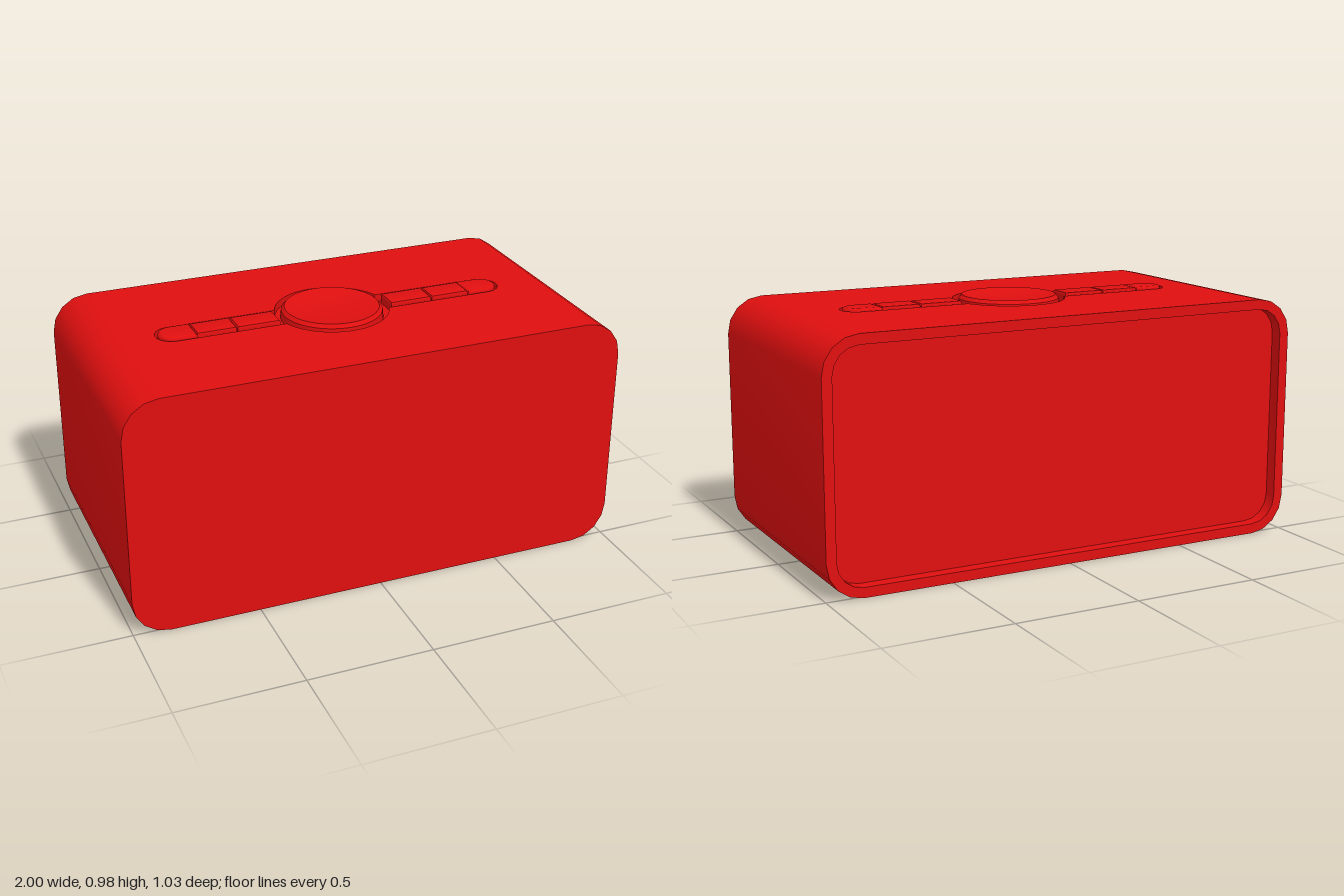
import * as THREE from 'three';
import { toCreasedNormals } from 'three/addons/utils/BufferGeometryUtils.js';

const TOP = 0.965, HALF_D = 0.515, FLOOR = 0.935, RIM = 0.04, BACK_DEPTH = 0.05;

// Points along an arc, counter-clockwise, angles in radians.
function arc(cx, cy, r, a0, a1, steps) {
  return Array.from({ length: steps + 1 }, (_, i) => {
    const a = a0 + (a1 - a0) * i / steps;
    return new THREE.Vector2(cx + r * Math.cos(a), cy + r * Math.sin(a));
  });
}

// Rounded rectangle inset from the case silhouette, from top left round to top right.
function outline(inset) {
  const r = 0.145 - inset, x = 0.855, y0 = 0.145, y1 = TOP - 0.145, q = Math.PI / 2;
  return [
    ...arc(-x, y1, r, q, 2 * q, 4), ...arc(-x, y0, r, 2 * q, 3 * q, 4),
    ...arc(x, y0, r, 3 * q, 4 * q, 4), ...arc(x, y1, r, 0, q, 4),
  ];
}

// Strip of wall along a path; faces outward for a counter-clockwise path.
function wall(points, z0, z1) {
  const pos = [];
  for (let i = 0; i < points.length - 1; i++) {
    const p = points[i], q = points[i + 1];
    if (p.distanceTo(q) < 1e-5) continue;
    pos.push(p.x, p.y, z0, q.x, q.y, z0, q.x, q.y, z1);
    pos.push(p.x, p.y, z0, q.x, q.y, z1, p.x, p.y, z1);
  }
  const geo = new THREE.BufferGeometry();
  geo.setAttribute('position', new THREE.Float32BufferAttribute(pos, 3));
  return toCreasedNormals(geo, 0.6);
}

const inwardWall = (points, z0, z1) => wall([...points, points[0]].reverse(), z0, z1);

function plate(points, hole) {
  const shape = new THREE.Shape(points);
  if (hole) shape.holes.push(new THREE.Path(hole));
  return new THREE.ShapeGeometry(shape);
}

export function createModel() {
  const model = new THREE.Group();
  model.name = 'speaker';
  const red = new THREE.MeshStandardMaterial({ color: 0xe00f0f });
  red.name = 'red';
  const add = (name, geo) => {
    const mesh = new THREE.Mesh(geo, red);
    mesh.name = name;
    model.add(mesh);
    return mesh;
  };
  // Turns a plan drawn in x, y to lie flat, with its depth pointing up.
  const lay = (geo, y) => geo.rotateX(-Math.PI / 2).translate(0, y, 0);

  // Case: sides and bottom, front face, back rim and recessed back panel
  const outer = outline(0), inner = outline(RIM);
  add('caseSides', wall(outer, -HALF_D, HALF_D));
  add('frontFace', plate(outer).translate(0, 0, HALF_D));
  const turnBack = (geo, z) => geo.rotateY(Math.PI).translate(0, 0, z);
  add('backRim', turnBack(plate(outer, inner), -HALF_D));
  add('backRecessWall', inwardWall(inner, -HALF_D, -HALF_D + BACK_DEPTH));
  add('backPanel', turnBack(plate(inner), -HALF_D + BACK_DEPTH));

  // Control groove: a circle with a round-ended slot on both sides
  const R = 0.225, s = 0.07, a = Math.asin(s / R), h = Math.PI / 2;
  const groove = [
    ...arc(0.65, 0, s, -h, h, 12), ...arc(0, 0, R, a, Math.PI - a, 24),
    ...arc(-0.65, 0, s, h, 3 * h, 12), ...arc(0, 0, R, Math.PI + a, 2 * Math.PI - a, 24),
  ];
  const x = 0.855;
  const topCorners = [[-x, -HALF_D], [x, -HALF_D], [x, HALF_D], [-x, HALF_D]]
    .map(([px, py]) => new THREE.Vector2(px, py));
  add('topPanel', lay(plate(topCorners, groove), TOP));
  add('grooveWall', lay(inwardWall(groove, 0, TOP - FLOOR), FLOOR));
  add('grooveFloor', lay(plate(groove), FLOOR));

  // Dished dial
  const profile = [
    [0.203, FLOOR], [0.2, 0.967], [0.187, 0.981], [0.15, 0.975],
    [0.1, 0.97], [0.05, 0.967], [0, 0.966],
  ].map(([r, y]) => new THREE.Vector2(r, y));
  add('dial', toCreasedNormals(new THREE.LatheGeometry(profile, 48), 0.5));

  // Three buttons on each side, the last with a rounded end
  const bevel = 0.012, w = 0.057 - bevel;
  const buttons = [[0.235, 0.404], [0.412, 0.566], [0.576, 0.708]];
  for (const side of [1, -1]) {
    buttons.forEach(([x0, x1], i) => {
      const l = x0 + 0.004, r = x1 - 0.004;
      const end = i === 2
        ? arc(x1 - bevel - w, 0, w, -h, h, 12)
        : [new THREE.Vector2(r, -w), new THREE.Vector2(r, w)];
      const shape = new THREE.Shape([new THREE.Vector2(l, w), new THREE.Vector2(l, -w), ...end]);
      const geo = new THREE.ExtrudeGeometry(shape, {
        depth: 0.975 - FLOOR - bevel, bevelSize: i === 2 ? bevel : 0.006,
        bevelThickness: bevel, bevelSegments: 3,
      });
      const mesh = add('button', lay(toCreasedNormals(geo, 0.6), FLOOR));
      if (side < 0) mesh.rotation.y = Math.PI;
    });
  }
  return model;
}
